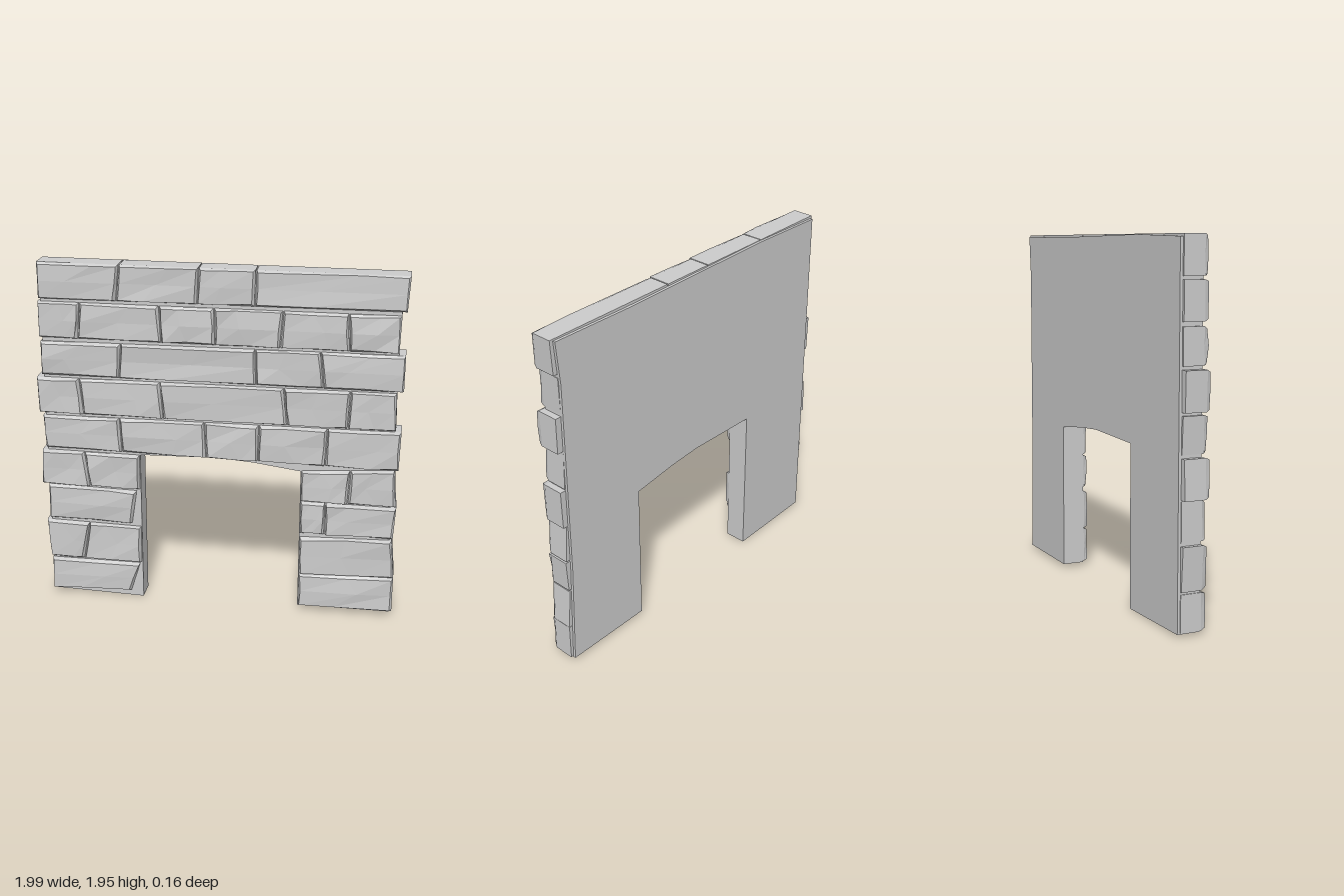
import * as THREE from 'three';

// small seeded generator for the hand-cut irregularity
function seeded(seed) {
  let s = seed;
  return () => {
    s = (s * 16807) % 2147483647;
    return (s / 2147483647) * 2 - 1;
  };
}

// Courses: bottom and top heights as [left end, right end];
// joints as [x at bottom, x at top]
const COURSES = [
  // left leg
  { b: [0.02, 0.035], t: [0.215, 0.215], j: [[-0.96, -0.96], [-0.5, -0.445]] },
  { b: [0.225, 0.22], t: [0.455, 0.445], j: [[-0.965, -0.98], [-0.77, -0.73], [-0.435, -0.435]] },
  { b: [0.47, 0.465], t: [0.675, 0.665], j: [[-0.96, -0.96], [-0.485, -0.455]] },
  { b: [0.68, 0.675], t: [0.885, 0.88], j: [[-0.995, -0.985], [-0.72, -0.745], [-0.435, -0.435]] },
  // right leg
  { b: [0.025, 0.025], t: [0.225, 0.235], j: [[0.465, 0.465], [0.99, 0.99]] },
  { b: [0.225, 0.235], t: [0.45, 0.465], j: [[0.465, 0.465], [0.99, 0.97]] },
  { b: [0.475, 0.475], t: [0.665, 0.66], j: [[0.465, 0.465], [0.6, 0.6], [0.975, 0.985]] },
  { b: [0.67, 0.665], t: [0.845, 0.88], j: [[0.465, 0.465], [0.72, 0.73], [0.98, 0.965]] },
  // full-width courses above the opening
  { b: [0.9, 0.88], t: [1.09, 1.1], j: [[-0.96, -0.97], [-0.53, -0.54], [-0.06, -0.07], [0.225, 0.23], [0.59, 0.6], [0.985, 0.99]] },
  { b: [1.105, 1.105], t: [1.31, 1.315], j: [[-0.99, -0.995], [-0.74, -0.76], [-0.295, -0.31], [0.38, 0.36], [0.705, 0.715], [0.96, 0.955]] },
  { b: [1.325, 1.325], t: [1.515, 1.525], j: [[-0.965, -0.965], [-0.535, -0.52], [0.21, 0.205], [0.57, 0.55], [0.99, 0.99]] },
  { b: [1.535, 1.535], t: [1.735, 1.735], j: [[-0.97, -0.97], [-0.755, -0.74], [-0.3, -0.31], [-0.01, -0.015], [0.335, 0.35], [0.7, 0.69], [0.955, 0.96]] },
  { b: [1.75, 1.755], t: [1.95, 1.945], j: [[-0.965, -0.965], [-0.54, -0.52], [-0.105, -0.095], [0.2, 0.205], [0.985, 0.995]] },
];

const BACK = -0.065, SHOULDER = 0.05, FACE = 0.071;

// one stone: a subdivided box bent onto four corners, with a bevelled, faceted face
function makeStone(course, i, rnd) {
  const { b, t, j } = course;
  const first = j[0][0], last = j[j.length - 1][0];
  const lerp = THREE.MathUtils.lerp;
  const geo = new THREE.BoxGeometry(2, 2, 2, 2, 2, 2);
  const p = geo.attributes.position;
  const moved = new Map();
  for (let k = 0; k < p.count; k++) {
    const u = Math.round(p.getX(k)), v = Math.round(p.getY(k)), w = Math.round(p.getZ(k));
    const key = `${u},${v},${w}`;
    if (!moved.has(key)) {
      const vy = (v + 1) / 2;
      const x0 = lerp(j[i][0], j[i][1], vy), x1 = lerp(j[i + 1][0], j[i + 1][1], vy);
      let x = lerp(x0, x1, (u + 1) / 2);
      const f = (x - first) / (last - first);
      let y = lerp(lerp(b[0], b[1], f), lerp(t[0], t[1], f), vy);
      // narrow joints, wider at the bevelled face; outer ends stay full
      const outer = (u < 0 && i === 0) || (u > 0 && i === j.length - 2);
      x -= u * ((outer ? 0 : 0.003) + (w > 0 ? 0.009 + rnd() * 0.004 : 0));
      y -= v * (0.001 + (w > 0 ? 0.009 + rnd() * 0.005 : 0));
      if (u === 0 && w > 0) x += rnd() * 0.2 * (x1 - x0);
      const z = w < 0 ? BACK : w === 0 ? SHOULDER + rnd() * 0.004 : FACE + rnd() * 0.006;
      moved.set(key, [x, y, z]);
    }
    p.setXYZ(k, ...moved.get(key));
  }
  geo.computeVertexNormals();
  return geo;
}

export function createModel() {
  const wall = new THREE.Group();
  wall.name = 'stoneWallWithDoorway';
  const material = new THREE.MeshStandardMaterial({ color: 0xcccccc, flatShading: true });

  // backing slab with the doorway cut from its lower edge
  const outline = new THREE.Shape([
    [-0.955, 0.015], [-0.43, 0.0], [-0.43, 0.88], [0, 0.89], [0.2, 0.875], [0.46, 0.84],
    [0.46, 0.02], [0.975, 0.02], [0.955, 0.6], [0.955, 1.7], [0.975, 1.935],
    [0.5, 1.93], [-0.5, 1.945], [-0.955, 1.935],
  ].map(([x, y]) => new THREE.Vector2(x, y)));
  const slabGeo = new THREE.ExtrudeGeometry(outline, { depth: 0.123, bevelEnabled: false });
  slabGeo.translate(0, 0, -0.08);
  const slab = new THREE.Mesh(slabGeo, material);
  slab.name = 'backingSlab';
  wall.add(slab);

  // courses of rough stones
  const rnd = seeded(4217);
  COURSES.forEach((course, c) => {
    const group = new THREE.Group();
    group.name = `course${c + 1}`;
    for (let i = 0; i < course.j.length - 1; i++) {
      const stone = new THREE.Mesh(makeStone(course, i, rnd), material);
      stone.name = `stone${i + 1}`;
      group.add(stone);
    }
    wall.add(group);
  });
  return wall;
}
